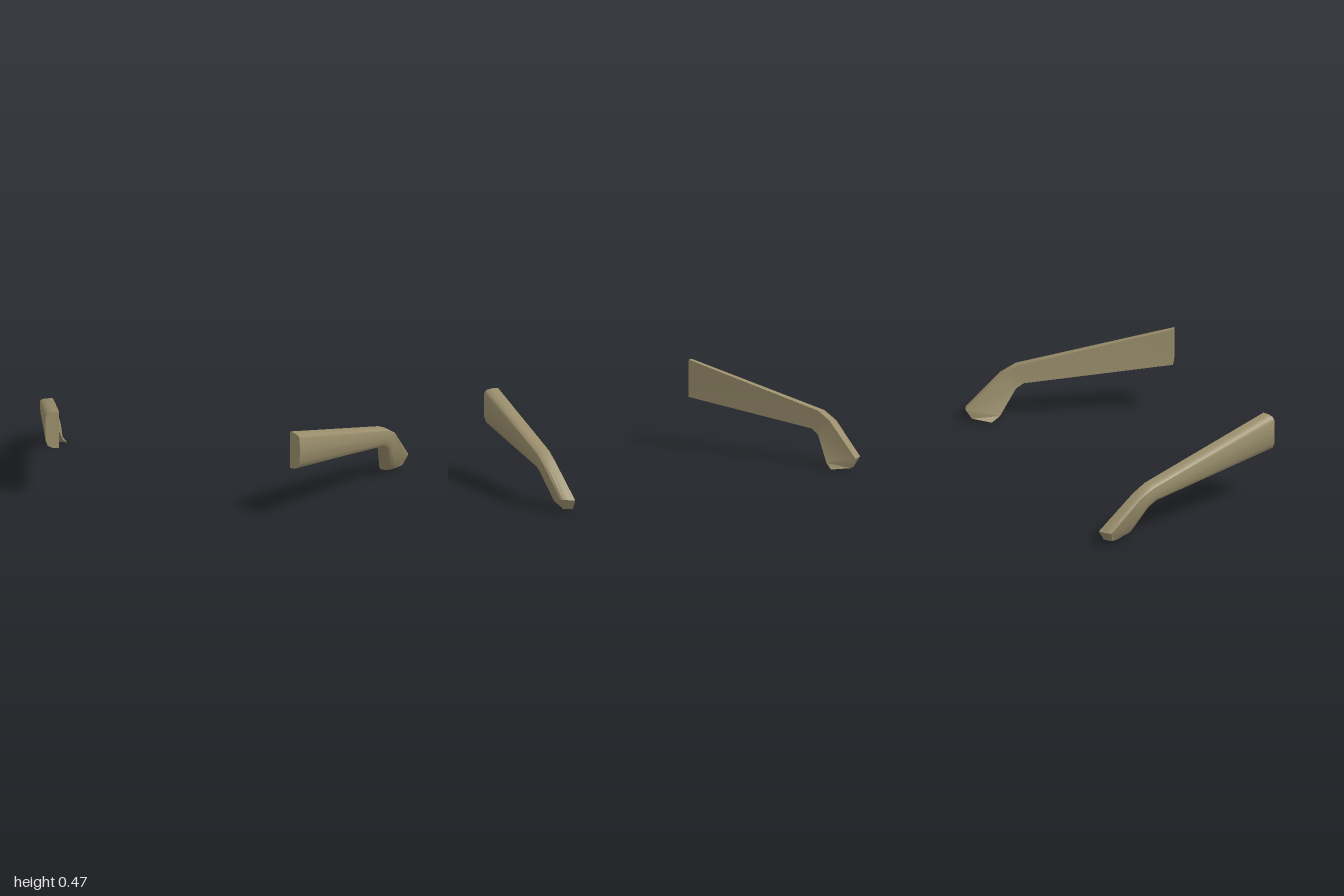
import * as THREE from 'three';
import { toCreasedNormals } from 'three/addons/utils/BufferGeometryUtils.js';

// Cross-section: [outward fraction, height fraction]; flat inside, rounded outside
const PROFILE = [[0, 1], [0.5, 0.99], [0.85, 0.95], [1, 0.87], [1.03, 0.55], [1, 0.22], [0.85, 0.08], [0.5, 0.01], [0, 0]];

// Stations from front to tip: inner top edge, inner bottom edge, outward thickness
const STATIONS = [
  { top: [0.638, 0.477, 0.515], bottom: [0.638, 0.275, 0.515], out: [0.064, 0, 0.036] },
  { top: [0.9, 0.292, -0.275], bottom: [0.885, 0.192, -0.24], out: [0.066, 0, 0.02] },
  { top: [0.918, 0.247, -0.352], bottom: [0.894, 0.165, -0.28], out: [0.066, 0, 0.014] },
  { top: [0.938, 0.07, -0.553], bottom: [0.874, 0.03, -0.38], out: [0.068, 0.006, 0.028] },
  { top: [0.928, 0.016, -0.52], bottom: [0.866, 0.002, -0.43], out: [0.05, 0.003, 0.02] },
];

// Lofts the stations into one closed arm; side is +1 (left) or -1 (right)
function armGeometry(side) {
  const rings = STATIONS.map(({ top, bottom, out }) => PROFILE.map(([u, v]) => {
    const p = [0, 1, 2].map((k) => bottom[k] + (top[k] - bottom[k]) * v + out[k] * u);
    return [p[0] * side, p[1], p[2]];
  }));
  const positions = [];
  const tri = (a, b, c) => positions.push(...a, ...(side > 0 ? b : c), ...(side > 0 ? c : b));
  const n = PROFILE.length;
  for (let i = 0; i < rings.length - 1; i++) {
    for (let j = 0; j < n; j++) {
      const k = (j + 1) % n;
      tri(rings[i][j], rings[i][k], rings[i + 1][k]);
      tri(rings[i][j], rings[i + 1][k], rings[i + 1][j]);
    }
  }
  // End caps
  const last = rings[rings.length - 1];
  for (let j = 1; j < n - 1; j++) {
    tri(rings[0][0], rings[0][j + 1], rings[0][j]);
    tri(last[0], last[j], last[j + 1]);
  }
  const geometry = new THREE.BufferGeometry();
  geometry.setAttribute('position', new THREE.Float32BufferAttribute(positions, 3));
  return toCreasedNormals(geometry, 0.75);
}

export function createModel() {
  const group = new THREE.Group();
  group.name = 'templeArms';
  const material = new THREE.MeshStandardMaterial({ color: 0x9a8e6c });
  material.name = 'khaki';
  for (const [name, side] of [['leftArm', 1], ['rightArm', -1]]) {
    const arm = new THREE.Mesh(armGeometry(side), material);
    arm.name = name;
    group.add(arm);
  }
  return group;
}
